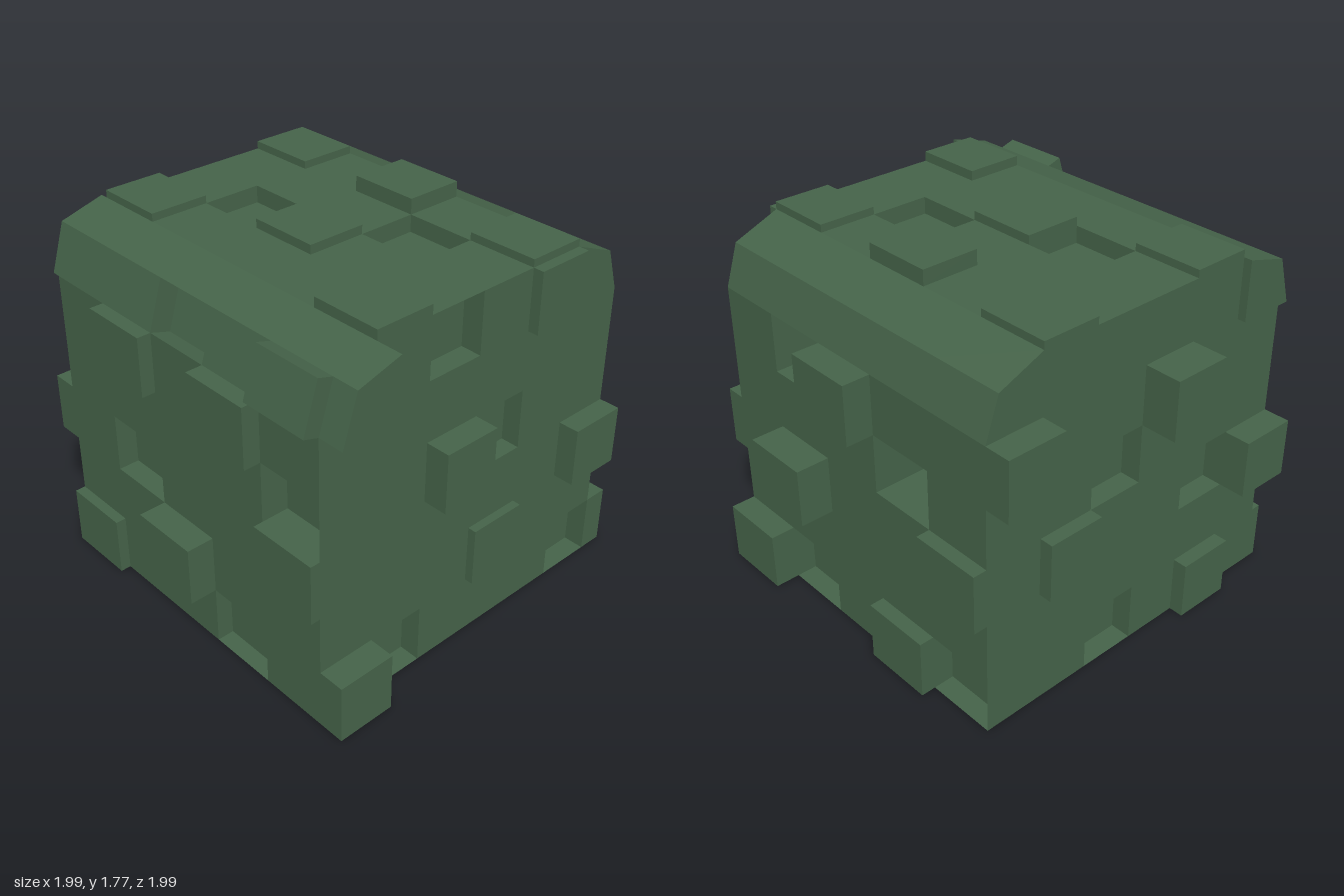
import * as THREE from 'three';

// Grid lines of the block
const X = [-0.826, -0.487, -0.148, 0.191, 0.53, 0.865];
const Y = [0, 0.285, 0.567, 0.85, 1.133, 1.415, 1.7];
const Z = [0.86, 0.58, 0.297, 0.015, -0.27, -0.55, -0.835];
const V = (x, y, z) => new THREE.Vector3(x, y, z);

// Adds one flat cell, pushed out (d > 0) or sunk in (d < 0), with its side walls
function addCell(out, corners, outward, d = 0) {
  const p = corners.slice();
  const n = p[1].clone().sub(p[0]).cross(p[2].clone().sub(p[0])).normalize();
  if (n.dot(outward) < 0) {
    p.reverse();
    n.negate();
  }
  const cap = p.map((v) => v.clone().addScaledVector(n, d));
  const tri = (a, b, c) => [a, b, c].forEach((v) => out.push(v.x, v.y, v.z));
  for (let i = 1; i < cap.length - 1; i++) tri(cap[0], cap[i], cap[i + 1]);
  if (d === 0) return;
  p.forEach((a, i) => {
    const j = (i + 1) % p.length;
    tri(a, p[j], cap[j]);
    tri(a, cap[j], cap[i]);
  });
}

// Builds a face from a grid of cells; depths are keyed 'column,row'
function gridFace(us, vs, point, outward, depths = {}) {
  const out = [];
  for (let i = 0; i < us.length - 1; i++) {
    for (let j = 0; j < vs.length - 1; j++) {
      const quad = [[i, j], [i + 1, j], [i + 1, j + 1], [i, j + 1]].map(([a, b]) => point(us[a], vs[b]));
      addCell(out, quad, outward, depths[`${i},${j}`]);
    }
  }
  return out;
}

export function createModel() {
  const group = new THREE.Group();
  const green = new THREE.MeshStandardMaterial({ color: 0x456349 });
  green.name = 'leaf green';
  green.flatShading = true;

  const add = (name, positions) => {
    const geo = new THREE.BufferGeometry();
    geo.setAttribute('position', new THREE.Float32BufferAttribute(positions, 3));
    geo.computeVertexNormals();
    const mesh = new THREE.Mesh(geo, green);
    mesh.name = name;
    group.add(mesh);
  };

  const rows = Y.slice(0, 6);

  // Front and back walls
  add('frontWall', gridFace(X, rows, (x, y) => V(x, y, Z[0]), V(0, 0, 1), {
    '0,0': 0.05, '2,1': 0.13, '4,2': 0.045, '1,4': 0.065, '3,4': 0.08,
    '1,2': -0.1, '4,3': -0.13, '3,0': -0.08,
  }));
  add('backWall', gridFace(X, rows, (x, y) => V(x, y, Z[6]), V(0, 0, -1), {
    '4,0': 0.12, '1,0': 0.07, '3,2': 0.16, '0,2': 0.065, '2,4': 0.13,
    '3,0': -0.1, '0,0': -0.1, '1,3': -0.26, '3,4': -0.26,
  }));

  // Side walls, with the top row trimmed to the sloped edges at both ends
  const side = (x, depths, topDepths) => {
    const outward = V(Math.sign(x), 0, 0);
    const out = gridFace(Z, rows, (z, y) => V(x, y, z), outward, depths);
    for (let k = 0; k < 6; k++) {
      const p = [V(x, Y[5], Z[k]), V(x, Y[5], Z[k + 1]), V(x, Y[6], Z[k + 1]), V(x, Y[6], Z[k])];
      if (k === 0) p[3] = V(x, 1.64, 0.79);
      if (k === 5) p[2] = V(x, 1.61, -0.77);
      if (k === 0) p.splice(3, 0, V(x, Y[6], Z[1])), p.splice(2, 1);
      addCell(out, p, outward, topDepths[k]);
    }
    return out;
  };
  add('leftWall', side(X[5], {
    '0,0': 0.125, '3,1': 0.04, '5,2': 0.1, '2,3': 0.115,
    '1,0': -0.1, '5,0': -0.1, '3,3': -0.09,
  }, [0.125, 0, -0.1, 0, 0.05, 0]));
  add('rightWall', side(X[0], {
    '5,4': 0.124, '4,2': 0.064, '2,4': 0.174, '0,2': 0.13, '1,0': 0.07,
    '3,3': -0.1, '3,0': -0.1, '1,2': -0.1,
  }, [0.04, 0, 0, 0, 0, 0]));

  // Top with raised and sunken tiles
  add('top', gridFace(X, Z.slice(1, 6), (x, z) => V(x, Y[6], z), V(0, 1, 0), {
    '0,3': 0.036, '2,3': 0.072, '4,3': 0.036, '2,1': 0.042, '0,0': 0.036, '4,0': 0.046,
    '1,1': -0.08, '3,2': -0.08,
  }));

  // Sloped edges: each strip runs between two (y, z) lines
  const slope = (a, b, depths) => gridFace(X, [a, b], (x, [y, z]) => V(x, y, z),
    V(0, 1, Math.sign(a[1])), depths);
  add('frontLowerSlope', slope([1.415, 0.86], [1.64, 0.79], { '2,0': -0.1, '4,0': 0.075 }));
  add('frontUpperSlope', slope([1.64, 0.79], [1.7, 0.58]));
  add('backLowerSlope', slope([1.415, -0.835], [1.61, -0.77]));
  add('backUpperSlope', slope([1.61, -0.77], [1.7, -0.55]));

  // Flat underside
  add('underside', gridFace([X[0], X[5]], [Z[0], Z[6]], (x, z) => V(x, 0, z), V(0, -1, 0)));

  return group;
}
